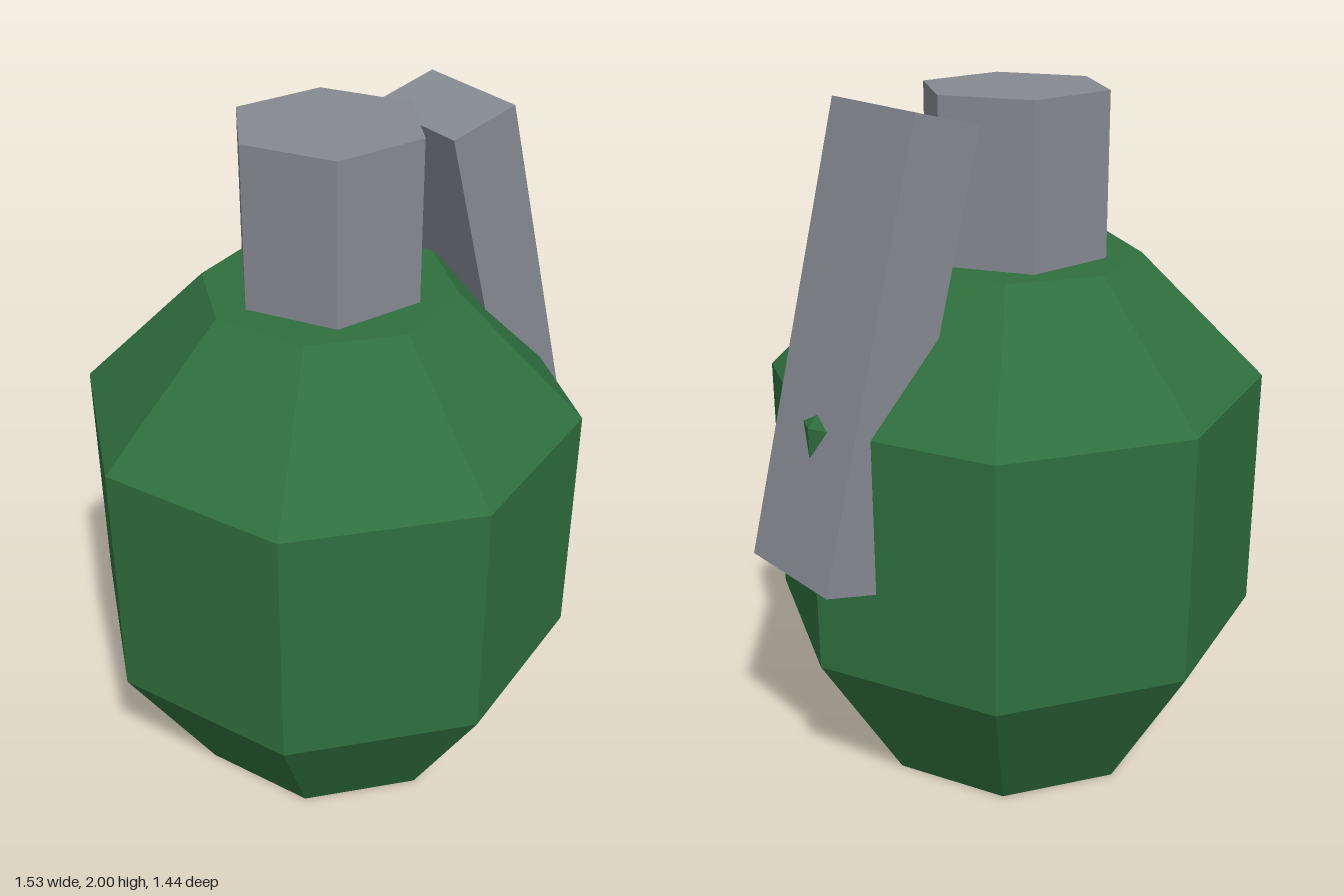
import * as THREE from 'three';

export function createModel() {
  const group = new THREE.Group();
  const green = new THREE.MeshStandardMaterial({ name: 'green', color: 0x2f6f3e, flatShading: true });
  const grey = new THREE.MeshStandardMaterial({ name: 'grey', color: 0x868a91, flatShading: true });

  function add(name, geometry, material, x, y, z) {
    const mesh = new THREE.Mesh(geometry, material);
    mesh.name = name;
    mesh.position.set(x, y, z);
    group.add(mesh);
    return mesh;
  }

  const axisX = -0.045;

  // Eight-sided body, closed at both ends
  const profile = [[0, 0], [0.45, 0], [0.722, 0.455], [0.722, 1.18], [0.361, 1.54], [0, 1.54]]
    .map(([r, y]) => new THREE.Vector2(r, y));
  add('body', new THREE.LatheGeometry(profile, 8), green, axisX, 0, 0);

  // Hexagonal neck, corners pointing along x
  add('neck', new THREE.CylinderGeometry(0.27, 0.27, 0.5, 6, 1, false, Math.PI / 6), grey, axisX, 1.75, 0);

  // Slanted lever, partly sunk into the body
  const lever = add('lever', new THREE.BoxGeometry(0.212, 1.267, 0.356), grey, 0.496, 1.36, 0);
  lever.rotation.z = THREE.MathUtils.degToRad(15);

  return group;
}
